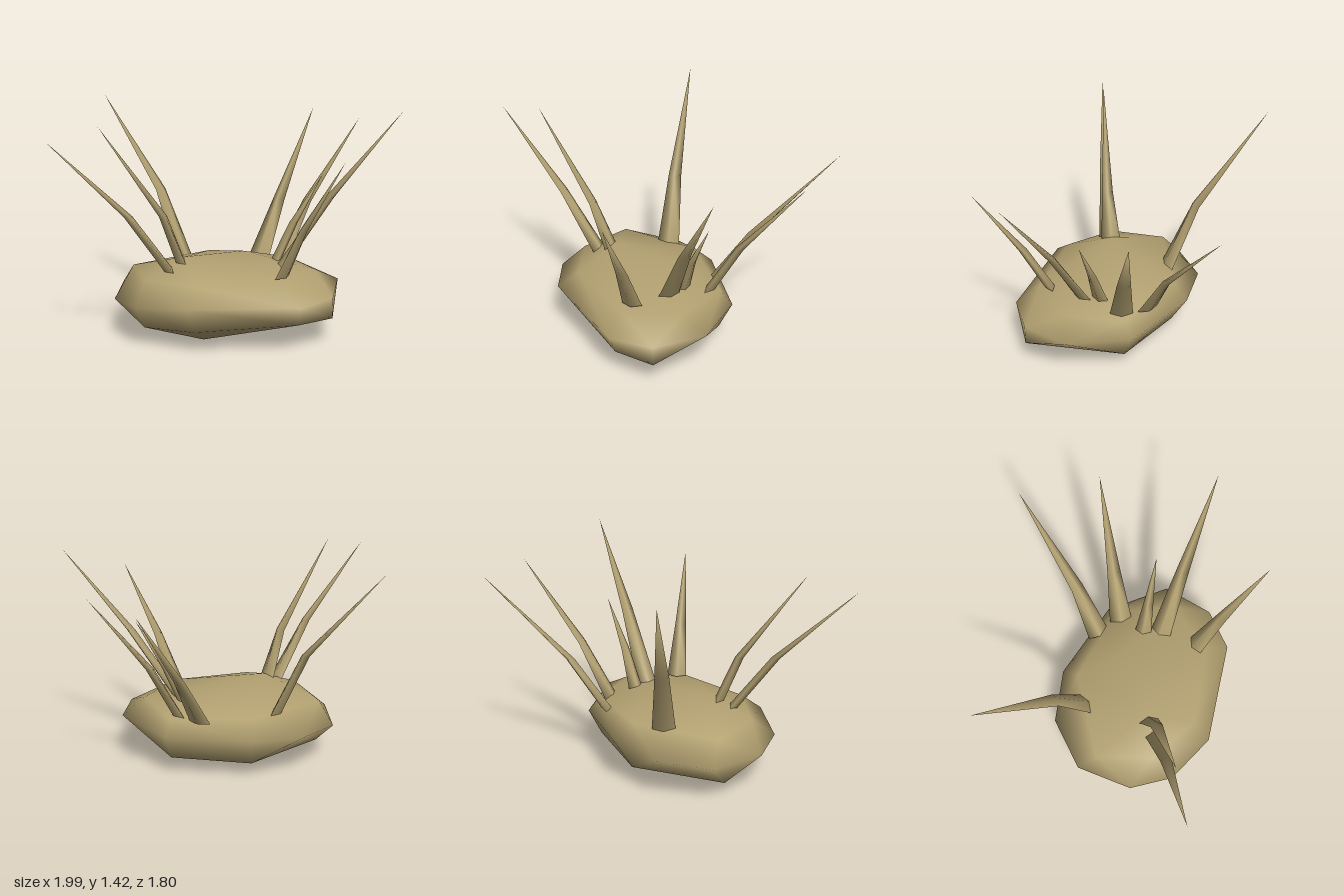
import * as THREE from 'three';
import { mergeVertices } from 'three/addons/utils/BufferGeometryUtils.js';
import { ConvexGeometry } from 'three/addons/geometries/ConvexGeometry.js';

// Smooth-shaded low-poly boulder: convex hull of a few corner points
function boulderGeometry() {
  const corners = [
    // underside
    [-0.2, 0, 0.4], [-0.68, 0.09, 0.22], [0.6, 0.17, 0.39], [0.28, 0.12, -0.17],
    [-0.24, 0.1, -0.2], [-0.22, 0.14, 0.66], [0.4, 0.18, 0.57], [-0.54, 0.12, 0.55],
    // widest belt
    [-0.24, 0.3, -0.32], [0.31, 0.29, -0.25], [0.62, 0.32, 0.05], [0.6, 0.3, 0.39],
    [0.42, 0.3, 0.61], [-0.24, 0.32, 0.77], [-0.57, 0.28, 0.66], [-0.75, 0.26, 0.44],
    [-0.78, 0.26, 0.07], [-0.57, 0.29, -0.21],
    // crown
    [-0.32, 0.52, 0.35], [0.48, 0.41, 0.16], [0, 0.47, 0], [0.28, 0.39, -0.18],
    [-0.2, 0.42, 0.64], [0.3, 0.41, 0.5], [-0.25, 0.41, -0.2], [-0.69, 0.4, 0.16],
    [-0.54, 0.41, 0.5],
  ].map((p) => new THREE.Vector3(...p));
  const hull = new ConvexGeometry(corners);
  hull.deleteAttribute('normal');
  const g = mergeVertices(hull, 1e-4);
  g.computeVertexNormals();
  return g;
}

// Four-sided blade, bent once at mid and running to a point
function spikeGeometry(base, mid, tip, width) {
  const out = new THREE.Vector3(tip.x - base.x, 0, tip.z - base.z).normalize();
  const side = new THREE.Vector3(0, 1, 0).cross(out);
  const ring = (c, w, t) => [
    c.clone().addScaledVector(out, t / 2), c.clone().addScaledVector(side, w / 2),
    c.clone().addScaledVector(out, -t / 2), c.clone().addScaledVector(side, -w / 2),
  ];
  const foot = ring(base, width, 0.065);
  const points = [...foot, ...ring(mid, width * 0.58, 0.055), tip, ...foot];
  const index = [9, 12, 11, 9, 11, 10];
  for (let i = 0; i < 4; i++) {
    const j = (i + 1) % 4;
    index.push(i, j, 4 + i, j, 4 + j, 4 + i, 4 + i, 4 + j, 8);
  }
  const g = new THREE.BufferGeometry().setFromPoints(points);
  g.setIndex(index);
  g.computeVertexNormals();
  return g;
}

export function createModel() {
  const model = new THREE.Group();
  model.name = 'spikyBoulder';
  const sand = new THREE.MeshStandardMaterial({ color: 0xb3a171 });
  sand.name = 'sand';

  const boulder = new THREE.Mesh(boulderGeometry(), sand);
  boulder.name = 'boulder';
  model.add(boulder);

  // Spikes: foot, bend, tip, foot width
  const spikes = [
    [[-0.4, 0.4, -0.06], [-0.57, 0.83, -0.17], [-1, 1.42, -0.44], 0.15],
    [[-0.39, 0.43, 0.43], [-0.61, 0.83, 0.61], [-1, 1.32, 0.9], 0.12],
    [[-0.34, 0.48, 0.37], [-0.43, 0.8, 0.46], [-0.75, 1.38, 0.71], 0.13],
    [[0.09, 0.39, -0.22], [0.2, 0.73, -0.42], [0.4, 1.29, -0.9], 0.15],
    [[0.24, 0.4, -0.12], [0.4, 0.76, -0.25], [0.73, 1.28, -0.51], 0.15],
    [[0.22, 0.43, 0.06], [0.33, 0.68, 0.04], [0.51, 0.99, 0], 0.11],
    [[0.26, 0.42, 0.17], [0.56, 0.88, 0.17], [0.99, 1.42, 0.17], 0.14],
    [[0.29, 0.43, 0.42], [0.42, 0.75, 0.52], [0.66, 1.2, 0.69], 0.13],
  ];
  spikes.forEach(([base, mid, tip, width], i) => {
    const [b, m, t] = [base, mid, tip].map((p) => new THREE.Vector3(...p));
    const spike = new THREE.Mesh(spikeGeometry(b, m, t, width), sand);
    spike.name = `spike${i + 1}`;
    model.add(spike);
  });
  return model;
}
